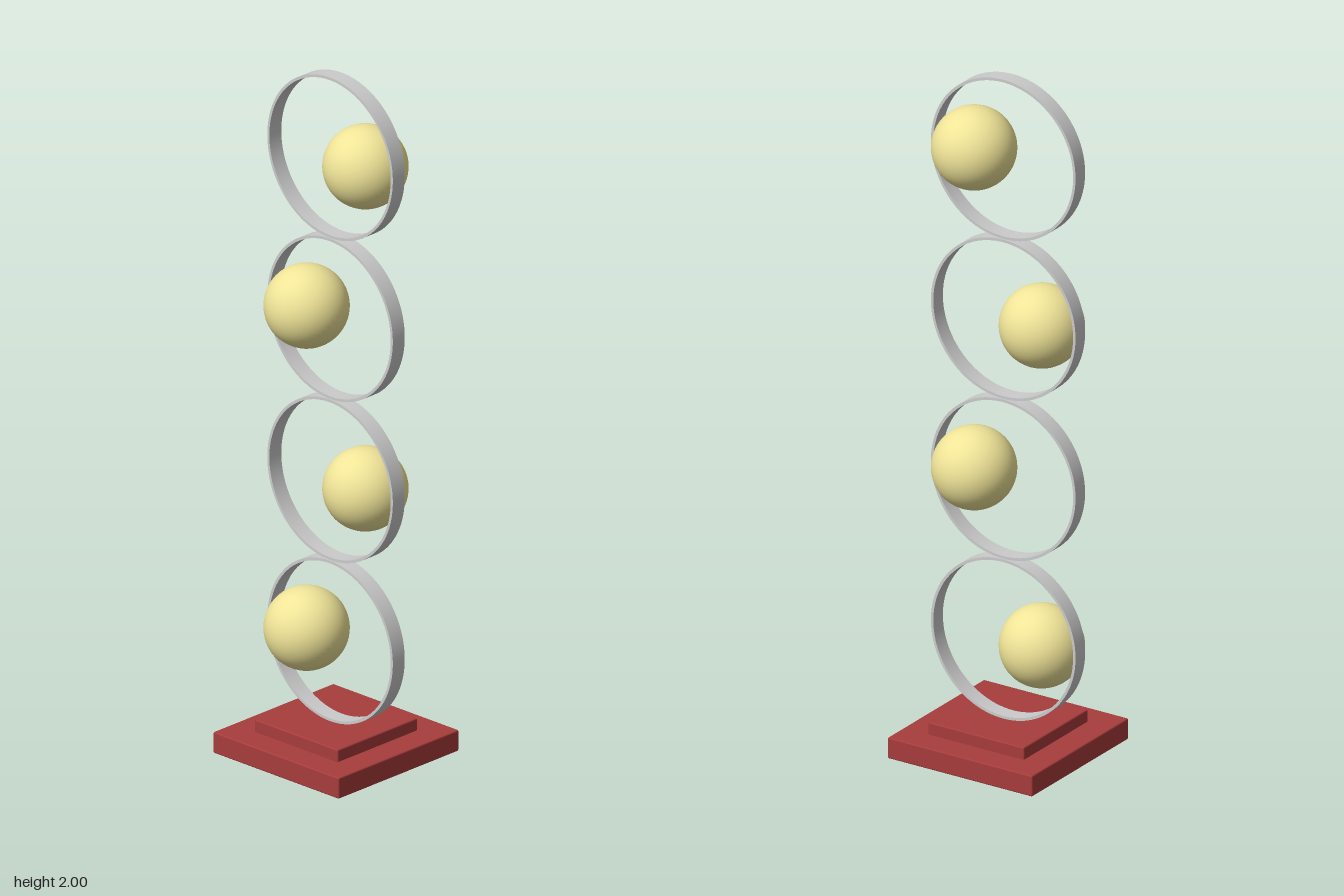
import * as THREE from 'three';
import { toCreasedNormals } from 'three/addons/utils/BufferGeometryUtils.js';
import { RoundedBoxGeometry } from 'three/addons/geometries/RoundedBoxGeometry.js';

const RING_RADIUS = 0.237;
const RING_WALL = 0.008;
const RING_DEPTH = 0.047;
const RING_PITCH = 0.476;
const BALL_RADIUS = 0.118;

// Flat band: a circle with a round hole, extruded along z and centred
function ringGeometry() {
  const shape = new THREE.Shape().absarc(0, 0, RING_RADIUS, 0, Math.PI * 2);
  shape.holes.push(new THREE.Path().absarc(0, 0, RING_RADIUS - RING_WALL, 0, Math.PI * 2, true));
  const geometry = new THREE.ExtrudeGeometry(shape, {
    depth: RING_DEPTH, bevelEnabled: false, curveSegments: 64,
  });
  geometry.translate(0, 0, -RING_DEPTH / 2);
  return toCreasedNormals(geometry, Math.PI / 6);
}

export function createModel() {
  const model = new THREE.Group();
  model.name = 'ringSculpture';

  const red = new THREE.MeshStandardMaterial({ color: 0xa83c3c });
  const grey = new THREE.MeshStandardMaterial({ color: 0xcccccc });
  const yellow = new THREE.MeshStandardMaterial({ color: 0xf0e498 });

  const add = (name, geometry, material, x, y) => {
    const mesh = new THREE.Mesh(geometry, material);
    mesh.name = name;
    mesh.position.set(x, y, 0);
    model.add(mesh);
  };

  // Two-step square base with softened edges
  add('basePlate', new RoundedBoxGeometry(0.474, 0.062, 0.474, 2, 0.004), red, 0, 0.031);
  add('baseStep', new RoundedBoxGeometry(0.314, 0.039, 0.314, 2, 0.004), red, 0, 0.0785);

  // Stack of rings, each holding a ball against alternating sides
  const ring = ringGeometry();
  const ball = new THREE.SphereGeometry(BALL_RADIUS, 48, 32);
  const ballOffset = RING_RADIUS - RING_WALL - BALL_RADIUS;
  for (let i = 0; i < 4; i++) {
    const y = 2 - RING_RADIUS - (3 - i) * RING_PITCH;
    add('ring' + (i + 1), ring, grey, 0, y);
    add('ball' + (i + 1), ball, yellow, i % 2 ? ballOffset : -ballOffset, y);
  }

  return model;
}
